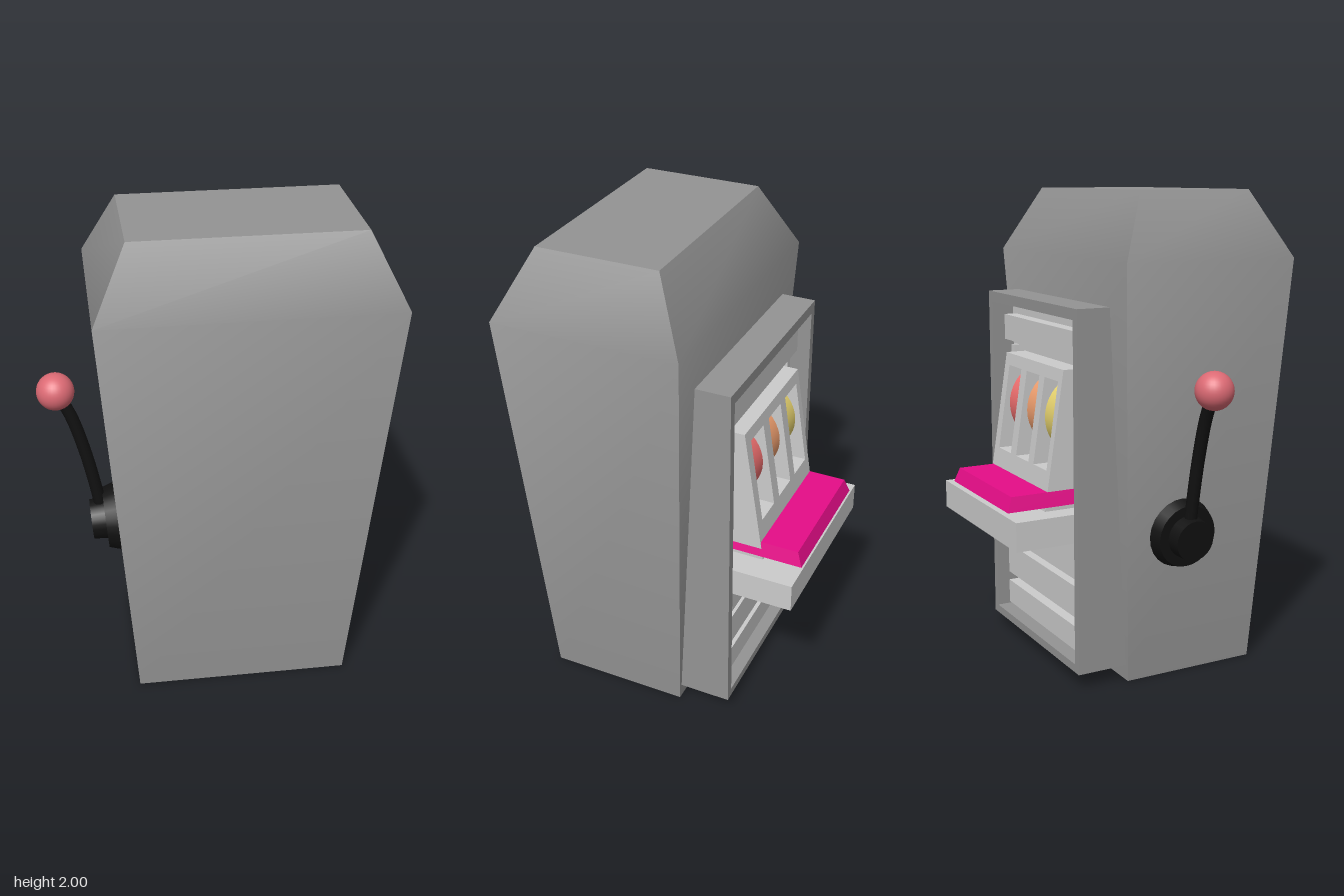
import * as THREE from 'three';
import { toCreasedNormals } from 'three/addons/utils/BufferGeometryUtils.js';

const material = (color) => new THREE.MeshStandardMaterial({ color });
const GREY = material(0xcccccc);
const CASE = material(0x949494);
const BLACK = material(0x111111);
const PINK = material(0xe60d88);
const BALL = material(0xdc6a74);
const CX = 0.108; // middle of the cabinet in x

function add(group, name, geometry, mat) {
  const mesh = new THREE.Mesh(geometry, mat);
  mesh.name = name;
  group.add(mesh);
  return mesh;
}

// Box given by its limits
function box(x0, x1, y0, y1, z0, z1) {
  return new THREE.BoxGeometry(x1 - x0, y1 - y0, z1 - z0)
    .translate((x0 + x1) / 2, (y0 + y1) / 2, (z0 + z1) / 2);
}

function rectangle(path, x0, x1, y0, y1) {
  path.moveTo(x0, y0);
  path.lineTo(x1, y0);
  path.lineTo(x1, y1);
  path.lineTo(x0, y1);
  path.closePath();
  return path;
}

// Rectangular plate in xy with rectangular holes, from z0 to z1
function plate(outer, holes, z0, z1) {
  const shape = rectangle(new THREE.Shape(), ...outer);
  for (const h of holes) shape.holes.push(rectangle(new THREE.Path(), ...h));
  return new THREE.ExtrudeGeometry(shape, { depth: z1 - z0, bevelEnabled: false }).translate(0, 0, z0);
}

// Move every vertex by a rule
function reshape(geometry, rule) {
  const p = geometry.attributes.position;
  const v = new THREE.Vector3();
  for (let i = 0; i < p.count; i++) {
    rule(v.fromBufferAttribute(p, i));
    p.setXYZ(i, v.x, v.y, v.z);
  }
  geometry.computeVertexNormals();
  return geometry;
}

// Cabinet: three rectangular sections, flaring up to the shoulders
function cabinetGeometry() {
  const sections = [
    { y: 0, x: [-0.335, 0.55], z: [-0.11, 0.485] },
    { y: 1.73, x: [-0.47, 0.685], z: [-0.195, 0.575] },
    { y: 2, x: [-0.335, 0.55], z: [-0.06, 0.44] },
  ];
  const g = new THREE.BoxGeometry(2, 2, 2, 1, 2, 1);
  reshape(g, (v) => {
    const s = sections[Math.round(v.y + 1)];
    v.set(s.x[v.x < 0 ? 0 : 1], s.y, s.z[v.z < 0 ? 0 : 1]);
  });
  return toCreasedNormals(g, 0.65);
}

// Sloping front of the reel housing
const slopeZ = (y) => -0.33 - 0.155 * (1.23 - y);

export function createModel() {
  const model = new THREE.Group();
  model.name = 'slotMachine';

  add(model, 'cabinet', cabinetGeometry(), CASE);

  // Open frame with its recessed panel
  add(model, 'panelFrame',
    plate([-0.32, 0.54, 0.065, 1.555], [[-0.285, 0.505, 0.1, 1.51]], -0.33, -0.1), CASE);
  add(model, 'recessPanel', box(-0.285, 0.505, 0.1, 1.51, -0.23, -0.2), GREY);

  // Horizontal trim panels above and below the reels
  for (const [y0, y1] of [[1.345, 1.455], [0.43, 0.62], [0.265, 0.4], [0.12, 0.225]]) {
    add(model, 'trimPanel', box(-0.255, 0.475, y0, y1, -0.285, -0.22), GREY);
  }

  // Upright strips beside the reels
  for (const side of [-1, 1]) {
    const x = CX + side * 0.35;
    add(model, 'sideStrip', box(x - 0.015, x + 0.015, 0.73, 1.32, -0.255, -0.22), GREY);
  }

  // Reel housing with three windows and a sloping face
  const reelCentres = [-0.083, 0.092, 0.272];
  const housing = plate([-0.18, 0.38, 0.72, 1.3],
    reelCentres.map((x) => [x - 0.0625, x + 0.0625, 0.89, 1.25]), -0.4, -0.22);
  add(model, 'reelHousing', reshape(housing, (v) => { if (v.z < -0.3) v.z = slopeZ(v.y); }), GREY);

  // Reels
  const reelColors = [0xe8d470, 0xf0a070, 0xf07070];
  reelCentres.forEach((x, i) => {
    const reel = new THREE.CylinderGeometry(0.172, 0.172, 0.085, 40).rotateZ(Math.PI / 2);
    add(model, 'reel', reel.translate(x, 1.085, -0.165), material(reelColors[i]));
  });

  // Shelf and the bevelled button deck above it
  add(model, 'shelf', box(-0.272, 0.492, 0.61, 0.73, -0.575, -0.22), GREY);
  const deck = box(-0.195, 0.388, 0.75, 0.81, -0.575, -0.25);
  reshape(deck, (v) => {
    if (v.y > 0.8) {
      v.x += v.x < CX ? 0.015 : -0.015;
      if (v.z < -0.5) v.z += 0.022;
    }
  });
  add(model, 'buttonDeck', deck, PINK);

  // Pull lever on the right side
  const lever = new THREE.Group();
  lever.name = 'lever';
  model.add(lever);
  const hub = new THREE.Group();
  hub.name = 'leverHub';
  hub.position.set(-0.375, 0.625, 0.11);
  hub.rotation.z = Math.PI / 2 + 0.078;
  lever.add(hub);
  add(hub, 'hubBase', new THREE.CylinderGeometry(0.13, 0.15, 0.06, 24).translate(0, 0.03, 0), BLACK);
  add(hub, 'hubCap', new THREE.CylinderGeometry(0.085, 0.095, 0.12, 24).translate(0, 0.06, 0), BLACK);

  const path = new THREE.CatmullRomCurve3([
    [-0.445, 0.63], [-0.47, 0.78], [-0.51, 0.97], [-0.56, 1.14], [-0.61, 1.24],
  ].map(([x, y]) => new THREE.Vector3(x, y, 0.11)));
  add(lever, 'leverArm', new THREE.TubeGeometry(path, 16, 0.026, 12), BLACK);
  add(lever, 'leverBall', new THREE.SphereGeometry(0.077, 32, 20).translate(-0.613, 1.248, 0.11), BALL);

  return model;
}
